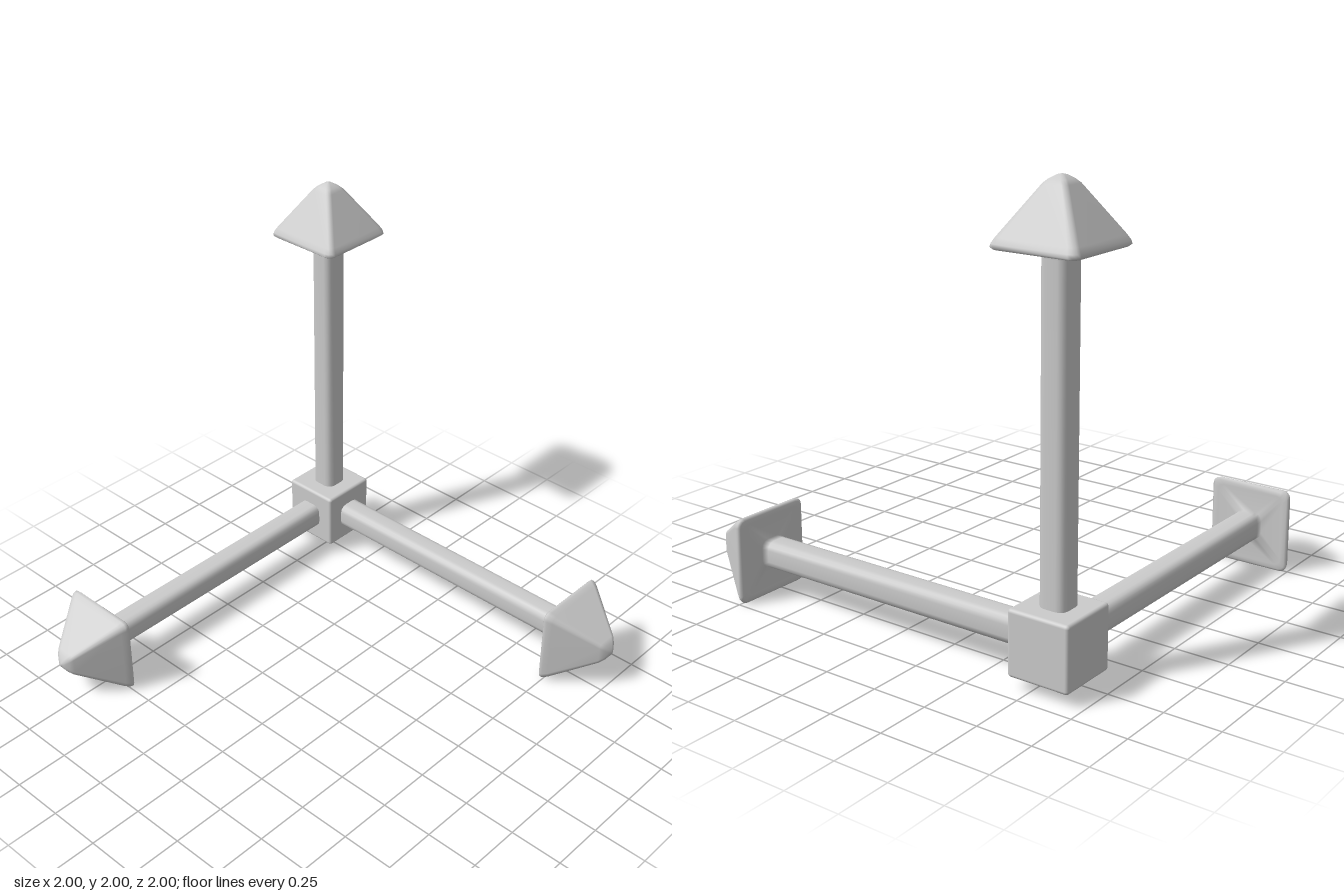
import * as THREE from 'three';
import { RoundedBoxGeometry } from 'three/addons/geometries/RoundedBoxGeometry.js';

const HALF = 0.195;               // half width of an arrow head
const CORNER_STEPS = 3;           // segments per rounded corner

// Rounded square section of half width h and corner radius r at height y
function section(y, h, r) {
  const points = [];
  for (let q = 0; q < 4; q++) {
    const mid = (q + 0.5) * Math.PI / 2;
    const cx = Math.sign(Math.sin(mid)) * (h - r);
    const cz = Math.sign(Math.cos(mid)) * (h - r);
    for (let s = 0; s <= CORNER_STEPS; s++) {
      const a = (q + s / CORNER_STEPS) * Math.PI / 2;
      points.push(cx + r * Math.sin(a), y, cz + r * Math.cos(a));
    }
  }
  return points;
}

// Smooth skin over a stack of sections
function loft(rows) {
  const n = 4 * (CORNER_STEPS + 1);
  const positions = rows.flatMap(([y, h, r]) => section(y, h, r));
  const index = [];
  for (let i = 0; i < rows.length - 1; i++) {
    for (let j = 0; j < n; j++) {
      const k = (j + 1) % n;
      const a = i * n + j, b = i * n + k;
      index.push(a, b, a + n, b, b + n, a + n);
    }
  }
  const geometry = new THREE.BufferGeometry();
  geometry.setAttribute('position', new THREE.Float32BufferAttribute(positions, 3));
  geometry.setIndex(index);
  geometry.computeVertexNormals();
  return geometry;
}

export function createModel() {
  const model = new THREE.Group();
  model.name = 'axisArrows';
  const material = new THREE.MeshStandardMaterial({ color: 0xcccccc });

  // Cube where the three arrows meet
  const cube = new THREE.Mesh(new RoundedBoxGeometry(0.285, 0.285, 0.285, 3, 0.015), material);
  cube.name = 'originCube';

  // Shaft flowing into a soft pyramid head, pointing up: [height, half width, corner radius]
  const arrowGeometry = loft([
    [0.1, 0.062, 0.036],
    [0.16, 0.062, 0.036],
    [1.5, 0.062, 0.036],
    [1.535, 0.064, 0.036],
    [1.535, 0.165, 0.03],
    [1.536, 0.185, 0.03],
    [1.544, HALF, 0.035],
    [1.558, 0.192, 0.035],
    [1.58, 0.179, 0.03],
    [1.77, 0.056, 0.02],
    [1.786, 0.04, 0.018],
    [1.8, 0.018, 0.012],
    [1.805, 0, 0],
  ]);

  // One arrow along each axis
  const arrows = [
    ['upArrow', 0, 0],
    ['leftArrow', 0, -Math.PI / 2],
    ['frontArrow', Math.PI / 2, 0],
  ].map(([name, rx, rz]) => {
    const arrow = new THREE.Mesh(arrowGeometry, material);
    arrow.name = name;
    arrow.rotation.set(rx, 0, rz);
    return arrow;
  });

  for (const part of [cube, ...arrows]) {
    part.position.set(HALF - 1, HALF, HALF - 1);
    model.add(part);
  }
  return model;
}
